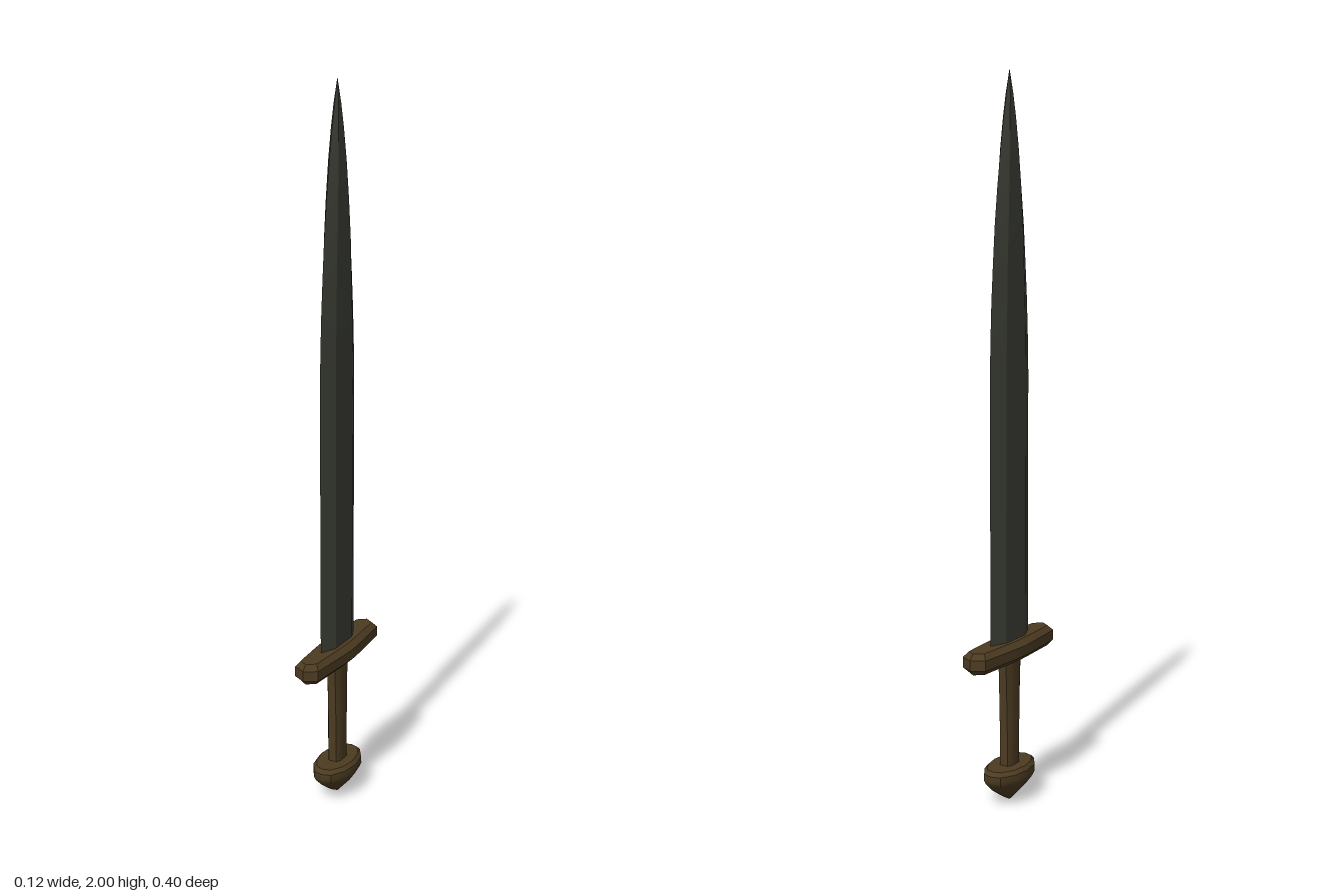
import * as THREE from 'three';
import { toCreasedNormals } from 'three/addons/utils/BufferGeometryUtils.js';

const steel = new THREE.MeshStandardMaterial({ name: 'darkSteel', color: 0x3b3d35 });
const bronze = new THREE.MeshStandardMaterial({ name: 'agedBronze', color: 0x4c3b21 });

// Mirrors a quarter outline (from +z round to +x) into a full ring of [x, z]
function mirrorPlan(quarter) {
  const half = [...quarter, ...quarter.filter(p => p[1] > 0).reverse().map(([x, z]) => [x, -z])];
  return [...half, ...half.filter(p => p[0] > 0).reverse().map(([x, z]) => [-x, z])];
}

// Skins a plan outline through levels of [y, halfX, halfZ] and caps both ends
function loft(name, plan, levels, material, crease = 0.35) {
  const pos = [], index = [], n = plan.length;
  for (const [y, sx, sz] of levels)
    for (const [x, z] of plan) pos.push(x * sx, y, z * sz);
  for (let i = 0; i < levels.length - 1; i++)
    for (let j = 0; j < n; j++) {
      const k = (j + 1) % n, a = i * n + j, b = i * n + k;
      index.push(a, b, b + n, a, b + n, a + n);
    }
  const top = (levels.length - 1) * n;
  for (let j = 1; j < n - 1; j++) {
    index.push(0, j + 1, j);
    index.push(top, top + j, top + j + 1);
  }
  const g = new THREE.BufferGeometry();
  g.setAttribute('position', new THREE.Float32BufferAttribute(pos, 3));
  g.setIndex(index);
  const mesh = new THREE.Mesh(toCreasedNormals(g, crease), material);
  mesh.name = name;
  return mesh;
}

export function createModel() {
  const sword = new THREE.Group();
  sword.name = 'sword';

  // Leaf-pointed blade: flat faces with bevelled cutting edges
  sword.add(loft('blade', mirrorPlan([[0, 1], [1, 0.5], [1, 0]]), [
    [0.44, 0.021, 0.098], [1.2, 0.021, 0.098], [1.3, 0.021, 0.095], [1.4, 0.021, 0.09],
    [1.5, 0.02, 0.082], [1.6, 0.02, 0.073], [1.7, 0.018, 0.06], [1.8, 0.015, 0.044],
    [1.88, 0.011, 0.029], [1.94, 0.007, 0.015], [2, 0.0005, 0.0005],
  ], steel));

  // Crossguard: long bar tapering to blunt points, bevelled above and below
  sword.add(loft('crossguard', mirrorPlan([[0, 1], [0.72, 0.9], [0.96, 0.2], [1, 0]]), [
    [0.412, 0.034, 0.185], [0.427, 0.05, 0.199], [0.455, 0.05, 0.199], [0.47, 0.034, 0.185],
  ], bronze));

  // Grip: slim bar with softened corners, flaring into the guard
  sword.add(loft('grip', mirrorPlan([[0, 1], [0.6, 1], [1, 0.6], [1, 0]]), [
    [0.1, 0.02, 0.03], [0.2, 0.02, 0.031], [0.3, 0.02, 0.034],
    [0.38, 0.02, 0.037], [0.42, 0.021, 0.042],
  ], bronze, 0.9));

  // Pommel: flattened cap running down to a point
  sword.add(loft('pommel', mirrorPlan([[0, 1], [0.45, 0.92], [0.86, 0.52], [1, 0]]), [
    [0.005, 0.003, 0.005], [0.022, 0.018, 0.035], [0.045, 0.039, 0.068],
    [0.068, 0.055, 0.091], [0.08, 0.06, 0.098], [0.099, 0.059, 0.098], [0.11, 0.05, 0.087],
  ], bronze, 0.6));

  return sword;
}
